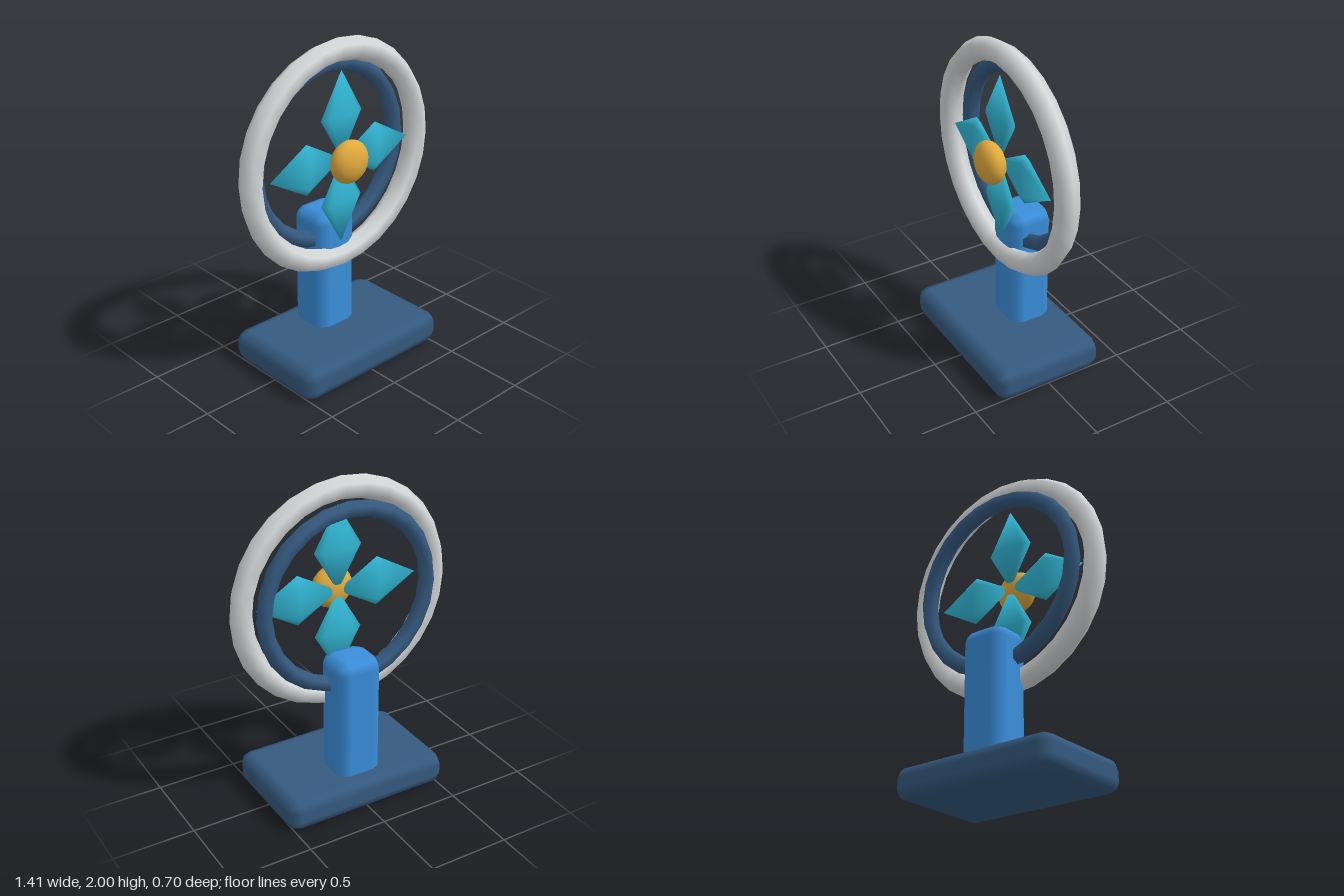
import * as THREE from 'three';
import { RoundedBoxGeometry } from 'three/addons/geometries/RoundedBoxGeometry.js';

const CENTRE_Y = 1.295; // height of the fan axis

function material(name, color) {
  const m = new THREE.MeshStandardMaterial({ color });
  m.name = name;
  return m;
}

export function createModel() {
  const group = new THREE.Group();
  const navy = material('navy', 0x355a80);
  const blue = material('blue', 0x3a8fdb);
  const silver = material('silver', 0xd6d9da);
  const teal = material('teal', 0x32b8d6);
  const gold = material('gold', 0xe2aa3e);

  function add(name, geometry, mat, x, y, z, parent = group) {
    const mesh = new THREE.Mesh(geometry, mat);
    mesh.name = name;
    mesh.position.set(x, y, z);
    parent.add(mesh);
    return mesh;
  }

  // Base slab and upright stand
  add('base', new RoundedBoxGeometry(1.07, 0.2, 0.7, 1, 0.07), navy, 0, 0.1, 0);
  add('stand', new RoundedBoxGeometry(0.285, 0.85, 0.265, 1, 0.07), blue, 0, 0.525, -0.116);

  // Front guard ring and the smaller ring behind it
  add('guardRing', new THREE.TorusGeometry(0.635, 0.07, 6, 28), silver, 0, CENTRE_Y, 0);
  add('rearRing', new THREE.TorusGeometry(0.535, 0.05, 6, 24), navy, 0, CENTRE_Y, -0.083);

  // Four flat, pointed blades around the axis
  const blades = new THREE.Group();
  blades.name = 'blades';
  blades.position.set(0, CENTRE_Y, 0.033);
  group.add(blades);
  const bladeGeometry = new THREE.SphereGeometry(1, 8, 2);
  bladeGeometry.scale(0.155, 0.265, 0.043);
  for (let i = 0; i < 4; i++) {
    const a = (i * Math.PI) / 2;
    const blade = add('blade', bladeGeometry, teal, -Math.sin(a) * 0.263, Math.cos(a) * 0.263, 0, blades);
    blade.rotation.z = a;
  }

  // Flattened hub cap
  const hubGeometry = new THREE.SphereGeometry(0.13, 16, 12);
  hubGeometry.scale(1, 1, 0.61);
  add('hub', hubGeometry, gold, 0, CENTRE_Y, 0.101);

  return group;
}
